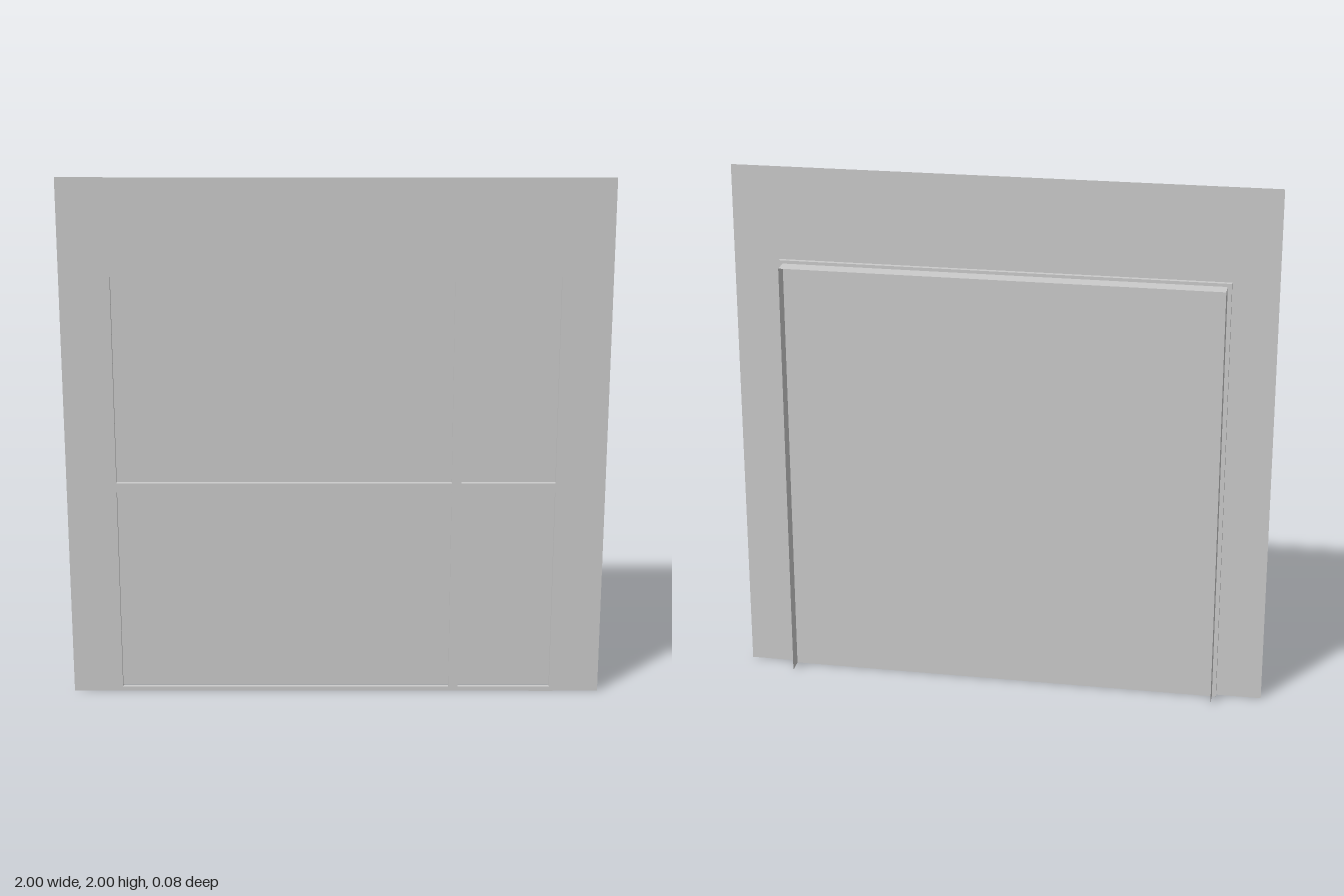
import * as THREE from 'three';

const FRONT = 0.04, FRAME_BACK = 0.023, BACK = -0.04;
const OUTER = 0.83, INNER = 0.815, TOP = 1.65, REVEAL_TOP = 1.638;

// Rectangular outline added to a Shape or Path
function rect(path, x0, y0, x1, y1) {
  path.moveTo(x0, y0);
  path.lineTo(x1, y0);
  path.lineTo(x1, y1);
  path.lineTo(x0, y1);
  path.closePath();
  return path;
}

export function createModel() {
  const model = new THREE.Group();
  const solid = new THREE.MeshStandardMaterial({ color: 0xcccccc });
  const sheet = new THREE.MeshStandardMaterial({ color: 0xcccccc, side: THREE.DoubleSide });

  function add(name, geometry, material, x = 0, y = 0, z = 0) {
    const mesh = new THREE.Mesh(geometry, material);
    mesh.name = name;
    mesh.position.set(x, y, z);
    model.add(mesh);
    return mesh;
  }

  // Thin wall sheet, notched from the floor up for the window
  const wall = new THREE.Shape();
  [[-1, 0], [-OUTER, 0], [-OUTER, TOP], [OUTER, TOP], [OUTER, 0], [1, 0], [1, 2], [-1, 2]]
    .forEach(([x, y], i) => (i ? wall.lineTo(x, y) : wall.moveTo(x, y)));
  wall.closePath();
  add('wall', new THREE.ShapeGeometry(wall), sheet, 0, 0, FRONT - 0.001);

  // Window frame with four unequal openings
  const frame = rect(new THREE.Shape(), -OUTER, 0, OUTER, TOP);
  for (const [x0, x1] of [[-INNER, 0.43], [0.465, INNER]]) {
    for (const [y0, y1] of [[0.017, 0.81], [0.845, 1.635]]) {
      frame.holes.push(rect(new THREE.Path(), x0, y0, x1, y1));
    }
  }
  add('windowFrame', new THREE.ExtrudeGeometry(frame, { depth: FRONT - FRAME_BACK, bevelEnabled: false }),
    solid, 0, 0, FRAME_BACK);

  // One pane behind the glazing bars
  const paneHeight = REVEAL_TOP - 0.017;
  add('pane', new THREE.PlaneGeometry(2 * INNER, paneHeight), sheet, 0, 0.017 + paneHeight / 2, FRAME_BACK - 0.001);

  // Thin reveal running back along both sides and the head
  const depth = FRAME_BACK - BACK, midZ = (FRAME_BACK + BACK) / 2;
  for (const side of [-1, 1]) {
    add(side > 0 ? 'leftReveal' : 'rightReveal', new THREE.PlaneGeometry(depth, REVEAL_TOP), sheet,
      side * INNER, REVEAL_TOP / 2, midZ).rotation.y = side * Math.PI / 2;
  }
  add('topReveal', new THREE.PlaneGeometry(2 * INNER, depth), sheet, 0, REVEAL_TOP, midZ).rotation.x = -Math.PI / 2;

  return model;
}
